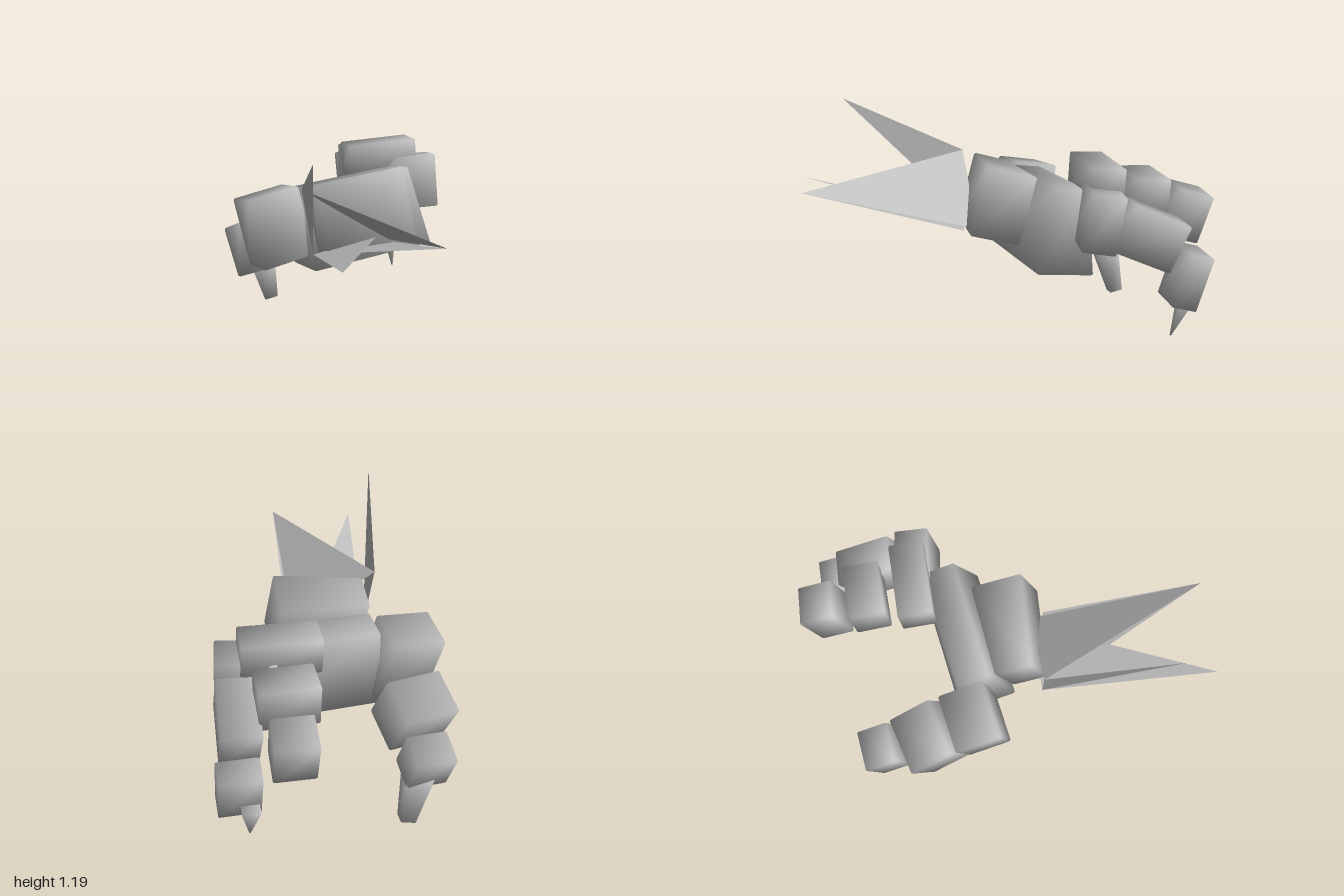
import * as THREE from 'three';
import { RoundedBoxGeometry } from 'three/addons/geometries/RoundedBoxGeometry.js';

const grey = new THREE.MeshStandardMaterial({ color: 0xbbbbbb });
grey.name = 'stone grey';
grey.side = THREE.DoubleSide;

// Chamfered block with soft, cushion-like normals. bottom and bottomDepth scale
// the lower end in width and depth, flare deepens the +x end.
function block(name, pos, size, rot, { bottom = 1, bottomDepth = bottom, flare = 0 } = {}) {
  const [w, h, d] = size;
  const geo = new RoundedBoxGeometry(w, h, d, 1, Math.min(w, h, d) * 0.05);
  const p = geo.attributes.position;
  const n = geo.attributes.normal;
  const v = new THREE.Vector3();
  for (let i = 0; i < p.count; i++) {
    v.fromBufferAttribute(p, i);
    const soft = new THREE.Vector3(v.x / w, v.y / h, v.z / d).normalize();
    n.setXYZ(i, soft.x, soft.y, soft.z);
    const t = 0.5 - v.y / h;
    const kx = THREE.MathUtils.lerp(1, bottom, t);
    const kz = THREE.MathUtils.lerp(1, bottomDepth, t);
    p.setXYZ(i, v.x * kx, v.y, v.z * kz * (1 + flare * 2 * v.x / w));
  }
  const mesh = new THREE.Mesh(geo, grey);
  mesh.name = name;
  mesh.position.set(...pos);
  mesh.rotation.set(...rot);
  return mesh;
}

// Thin triangular shard
function shard(name, a, b, c) {
  const geo = new THREE.BufferGeometry();
  geo.setAttribute('position', new THREE.Float32BufferAttribute([...a, ...b, ...c], 3));
  geo.computeVertexNormals();
  const mesh = new THREE.Mesh(geo, grey);
  mesh.name = name;
  return mesh;
}

function part(name, ...children) {
  const g = new THREE.Group();
  g.name = name;
  g.add(...children);
  return g;
}

export function createModel() {
  const model = new THREE.Group();
  model.name = 'clawedHand';

  // Wrist and palm
  model.add(
    block('wrist', [-0.025, 0.747, 0.036], [0.46, 0.355, 0.225], [-0.29, 0, 0.11], { flare: 0.16 }),
    block('palm', [0.045, 0.645, -0.215], [0.6, 0.42, 0.16], [-0.16, 0.13, 0.1], { bottom: 1.14, bottomDepth: 1.9 }),
  );

  // Finger nearest the middle
  model.add(part('innerFinger',
    block('innerKnuckle', [0.24, 0.9, -0.425], [0.38, 0.18, 0.17], [-0.06, 0, 0.04]),
    block('innerMiddle', [0.25, 0.81, -0.662], [0.28, 0.21, 0.18], [-0.06, 0.03, 0.02]),
    block('innerTip', [0.26, 0.698, -0.885], [0.2, 0.25, 0.18], [-0.3, -0.03, 0]),
  ));

  // Outer finger with its pointed claw
  model.add(part('outerFinger',
    block('outerKnuckle', [0.4, 0.755, -0.39], [0.29, 0.29, 0.17], [-0.17, -0.12, 0.02]),
    block('outerMiddle', [0.47, 0.672, -0.615], [0.19, 0.25, 0.31], [-0.43, -0.05, 0.04]),
    block('outerTip', [0.502, 0.447, -0.815], [0.2, 0.28, 0.13], [-0.29, 0, 0.02]),
    block('outerClaw', [0.458, 0.24, -0.82], [0.09, 0.28, 0.09], [-0.33, 0, 0], { bottom: 0.06 }),
  ));

  // Thumb with its blunt claw
  model.add(part('thumb',
    block('thumbBase', [-0.41, 0.625, -0.218], [0.29, 0.37, 0.23], [-0.2, 0.13, 0.18]),
    block('thumbMiddle', [-0.42, 0.455, -0.455], [0.3, 0.28, 0.24], [-0.43, 0.2, 0.18]),
    block('thumbTip', [-0.415, 0.35, -0.705], [0.21, 0.22, 0.17], [-0.35, 0.08, 0.1]),
    block('thumbClaw', [-0.352, 0.153, -0.725], [0.14, 0.28, 0.13], [0.2, 0, 0.22], { bottom: 0.55 }),
  ));

  // Torn shards jutting forward from the wrist
  const lowLeft = [0.1, 0.625, 0.21];
  const lowRight = [-0.3, 0.58, 0.14];
  const highRight = [-0.35, 0.915, 0.13];
  const tallTip = [-0.46, 1.2, 0.74];
  const sideTip = [-0.41, 0.805, 0.98];
  const longTip = [0.04, 0.86, 0.99];
  model.add(part('wristShards',
    shard('longShardLower', longTip, lowLeft, lowRight),
    shard('longShardUpper', longTip, highRight, [0.08, 0.62, 0.14]),
    shard('sideShard', sideTip, lowRight, [0.03, 0.645, 0.15]),
    shard('tallShard', tallTip, highRight, lowRight),
  ));
  return model;
}
